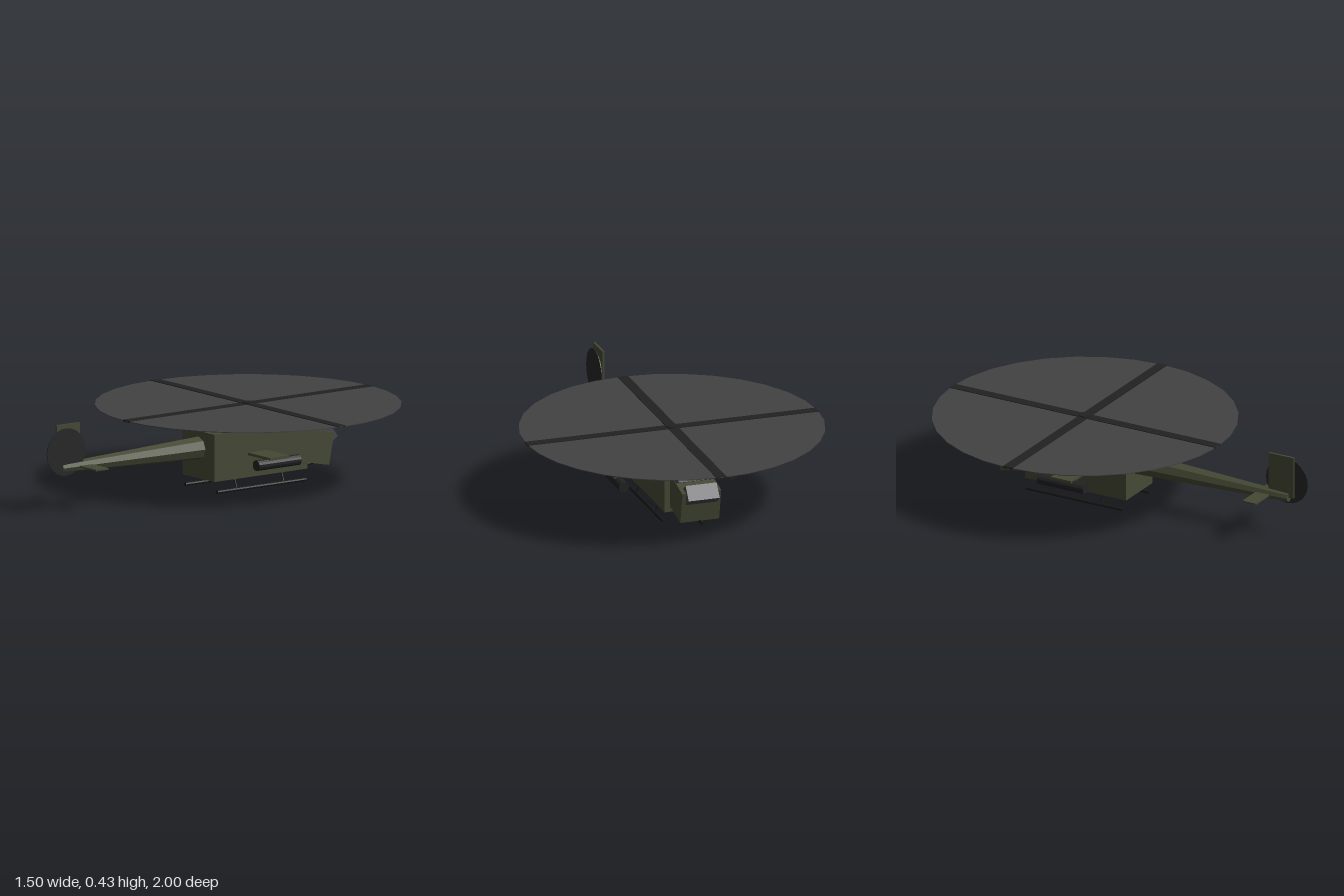
import * as THREE from 'three';

const mat = (name, color, extra = {}) => {
  const m = new THREE.MeshStandardMaterial({ color, flatShading: true, ...extra });
  m.name = name;
  return m;
};

export function createModel() {
  const green = mat('olive paint', 0x454934);
  const glass = mat('canopy glass', 0x45464c);
  const disc = mat('rotor blur', 0x424242);
  const blade = mat('blade grey', 0x222222);
  const tailDark = mat('tail rotor grey', 0x262626);
  const black = mat('skid black', 0x181818);

  const model = new THREE.Group();
  model.name = 'helicopter';

  const add = (name, geo, material, x, y, z, rx = 0, rz = 0) => {
    const mesh = new THREE.Mesh(geo, material);
    mesh.name = name;
    mesh.position.set(x, y, z);
    mesh.rotation.set(rx, 0, rz);
    model.add(mesh);
    return mesh;
  };
  const box = (w, h, d) => new THREE.BoxGeometry(w, h, d);
  const cyl = (rTop, rBottom, h, sides) => new THREE.CylinderGeometry(rTop, rBottom, h, sides);
  // rod between two points
  const rod = (name, a, b, r, material) => {
    const from = new THREE.Vector3(...a), dir = new THREE.Vector3(...b).sub(from);
    const mesh = add(name, cyl(r, r, dir.length(), 8), material, 0, 0, 0);
    mesh.position.copy(from).addScaledVector(dir, 0.5);
    mesh.quaternion.setFromUnitVectors(new THREE.Vector3(0, 1, 0), dir.normalize());
  };

  // Fuselage, drooped nose and the two tilted canopies (nose points to -z)
  add('fuselage', box(0.256, 0.235, 0.572), green, 0, 0.178, -0.23);
  add('nose', box(0.2, 0.163, 0.25), green, 0, 0.161, -0.565, -0.2);
  add('rearCanopy', box(0.194, 0.11, 0.2), glass, 0, 0.266, -0.526, 0.4);
  add('frontCanopy', box(0.16, 0.08, 0.1), glass, 0, 0.192, -0.676, 0.64);
  rod('noseGun', [0, 0.055, -0.535], [0, 0.055, -0.725], 0.007, black);

  // Tail boom, fin, stabilizer and tail rotor
  add('tailBoom', cyl(0.024, 0.058, 0.87, 8), green, 0, 0.211, 0.468, Math.PI / 2);
  add('tailFin', box(0.012, 0.215, 0.14), green, 0, 0.318, 0.86);
  add('stabilizer', box(0.316, 0.008, 0.076), green, 0, 0.21, 0.768);
  add('tailRotor', cyl(0.118, 0.118, 0.004, 24), tailDark, 0.016, 0.29, 0.882, 0, Math.PI / 2);

  // Mast, hub, rotor disc and crossed blades
  add('mastFairing', cyl(0.053, 0.08, 0.078, 8), green, 0, 0.333, -0.25);
  add('rotorHub', cyl(0.031, 0.031, 0.04, 16), blade, 0, 0.386, -0.25);
  add('rotorDisc', cyl(0.75, 0.75, 0.004, 32), disc, 0, 0.395, -0.25);
  add('rotorBlade', box(1.498, 0.01, 0.052), blade, 0, 0.395, -0.25);
  add('rotorBlade', box(0.052, 0.01, 1.498), blade, 0, 0.395, -0.25);

  // Stub wings, pods and landing skids, mirrored
  for (const s of [1, -1]) {
    add('stubWing', box(0.2, 0.013, 0.115), green, s * 0.205, 0.176, -0.21);
    add('weaponPod', cyl(0.027, 0.027, 0.26, 14), blade, s * 0.28, 0.149, -0.215, Math.PI / 2);
    rod('skid', [s * 0.128, 0.009, 0.04], [s * 0.128, 0.009, -0.505], 0.009, black);
    for (const z of [-0.083, -0.372]) {
      rod('skidStrut', [s * 0.108, 0.063, z], [s * 0.128, 0.01, z], 0.005, black);
    }
  }
  for (const z of [-0.083, -0.372]) {
    rod('skidCrossTube', [-0.108, 0.059, z], [0.108, 0.059, z], 0.005, black);
  }
  return model;
}
